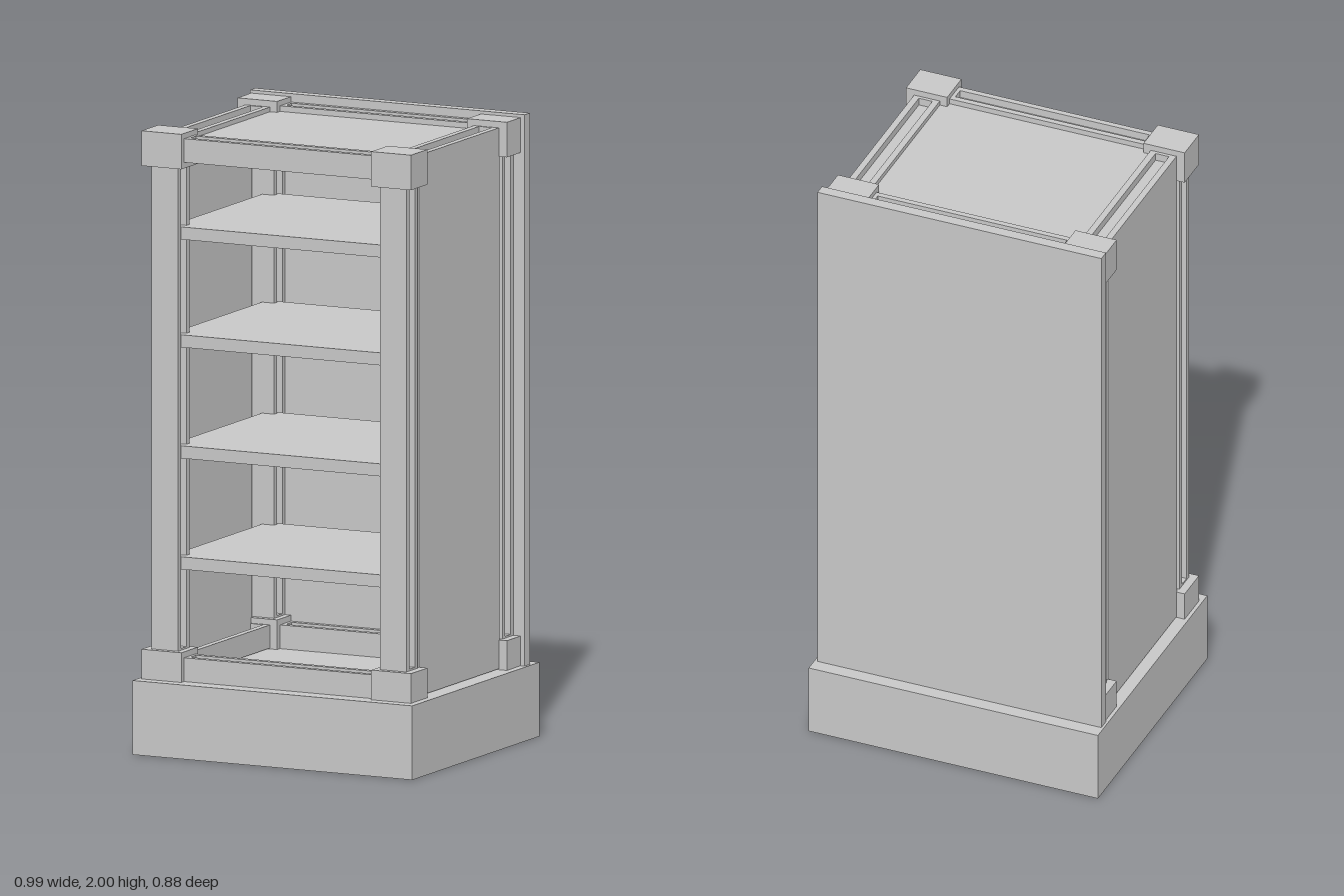
import * as THREE from 'three';
import { mergeGeometries } from 'three/addons/utils/BufferGeometryUtils.js';

export function createModel() {
  const model = new THREE.Group();
  model.name = 'bookcase';
  const grey = new THREE.MeshStandardMaterial({ color: 0xc8c8c8 });
  grey.name = 'plain grey';

  const add = (parent, name, geometry, x, y, z) => {
    const mesh = new THREE.Mesh(geometry, grey);
    mesh.name = name;
    mesh.position.set(x, y, z);
    parent.add(mesh);
  };

  // Box given by its limits on each axis
  const box = (parent, name, [x0, x1], [y0, y1], [z0, z1]) =>
    add(parent, name, new THREE.BoxGeometry(x1 - x0, y1 - y0, z1 - z0),
      (x0 + x1) / 2, (y0 + y1) / 2, (z0 + z1) / 2);

  // Bar grooved on two opposite faces, with solid ends that close the grooves
  // (X is the groove direction, Z the length)
  const groovedBar = (depth, width, slot, cut, length, end) => {
    const d = depth / 2, w = width / 2, s = slot / 2, i = d - cut;
    const points = [
      [-d, -w], [d, -w], [d, -s], [i, -s], [i, s], [d, s],
      [d, w], [-d, w], [-d, s], [-i, s], [-i, -s], [-d, -s],
    ].map(([x, y]) => new THREE.Vector2(x, y));
    const middle = new THREE.ExtrudeGeometry(new THREE.Shape(points), { depth: length, bevelEnabled: false })
      .translate(0, 0, -length / 2);
    const ends = [-1, 1].map((side) => new THREE.BoxGeometry(depth, width, end)
      .toNonIndexed().translate(0, 0, side * (length + end) / 2));
    return mergeGeometries([middle, ...ends]);
  };

  // Plinth and back
  box(model, 'plinth', [-0.495, 0.495], [0, 0.237], [-0.438, 0.438]);
  box(model, 'backPanel', [-0.487, 0.485], [0.237, 2], [-0.392, -0.355]);

  // The frame sits very slightly off centre on the plinth
  const frame = new THREE.Group();
  frame.name = 'frame';
  frame.position.x = -0.006;
  model.add(frame);

  for (const s of [-1, 1]) {
    const span = (a, b) => (s > 0 ? [a, b] : [-b, -a]);

    // Corner blocks, front and rear, bottom and top
    for (const [y0, y1] of [[0.237, 0.332], [1.878, 1.99]]) {
      box(frame, 'frontCornerBlock', span(0.336, 0.477), [y0, y1], [0.285, 0.4]);
      box(frame, 'rearCornerBlock', span(0.336, 0.477), [y0, y1], [-0.357, -0.26]);
    }

    // Grooved corner posts
    for (const z of [0.342, -0.318]) {
      const post = groovedBar(0.094, 0.076, 0.038, 0.025, 1.536, 0.02).rotateX(-Math.PI / 2);
      add(frame, z > 0 ? 'frontPost' : 'rearPost', post, s * 0.404, 1.106, z);
    }

    // Side rails and the side panel flush with them
    for (const y of [0.277, 1.933]) {
      const rail = groovedBar(0.074, 0.088, 0.046, 0.025, 0.528, 0.02).rotateZ(Math.PI / 2);
      add(frame, 'sideRail', rail, s * 0.405, y, 0.01);
    }
    box(frame, 'sidePanel', span(0.428, 0.449), [0.242, 1.97], [-0.265, 0.29]);
  }

  // Front and rear rails: groove up and down, length along x
  const turn = new THREE.Matrix4().makeBasis(
    new THREE.Vector3(0, 1, 0), new THREE.Vector3(0, 0, 1), new THREE.Vector3(1, 0, 0));
  for (const y of [0.275, 1.935]) {
    for (const z of [0.342, -0.318]) {
      const rail = groovedBar(0.076, 0.076, 0.038, 0.025, 0.648, 0.02).applyMatrix4(turn);
      add(frame, z > 0 ? 'frontRail' : 'rearRail', rail, 0, y, z);
    }
  }

  // Top panel, and shelves running into the grooves of the posts
  box(frame, 'topPanel', [-0.365, 0.365], [1.91, 1.955], [-0.285, 0.308]);
  for (const y of [0.61, 0.965, 1.32, 1.665]) {
    box(frame, 'shelf', [-0.4, 0.4], [y - 0.02, y + 0.02], [-0.315, 0.355]);
  }

  return model;
}
